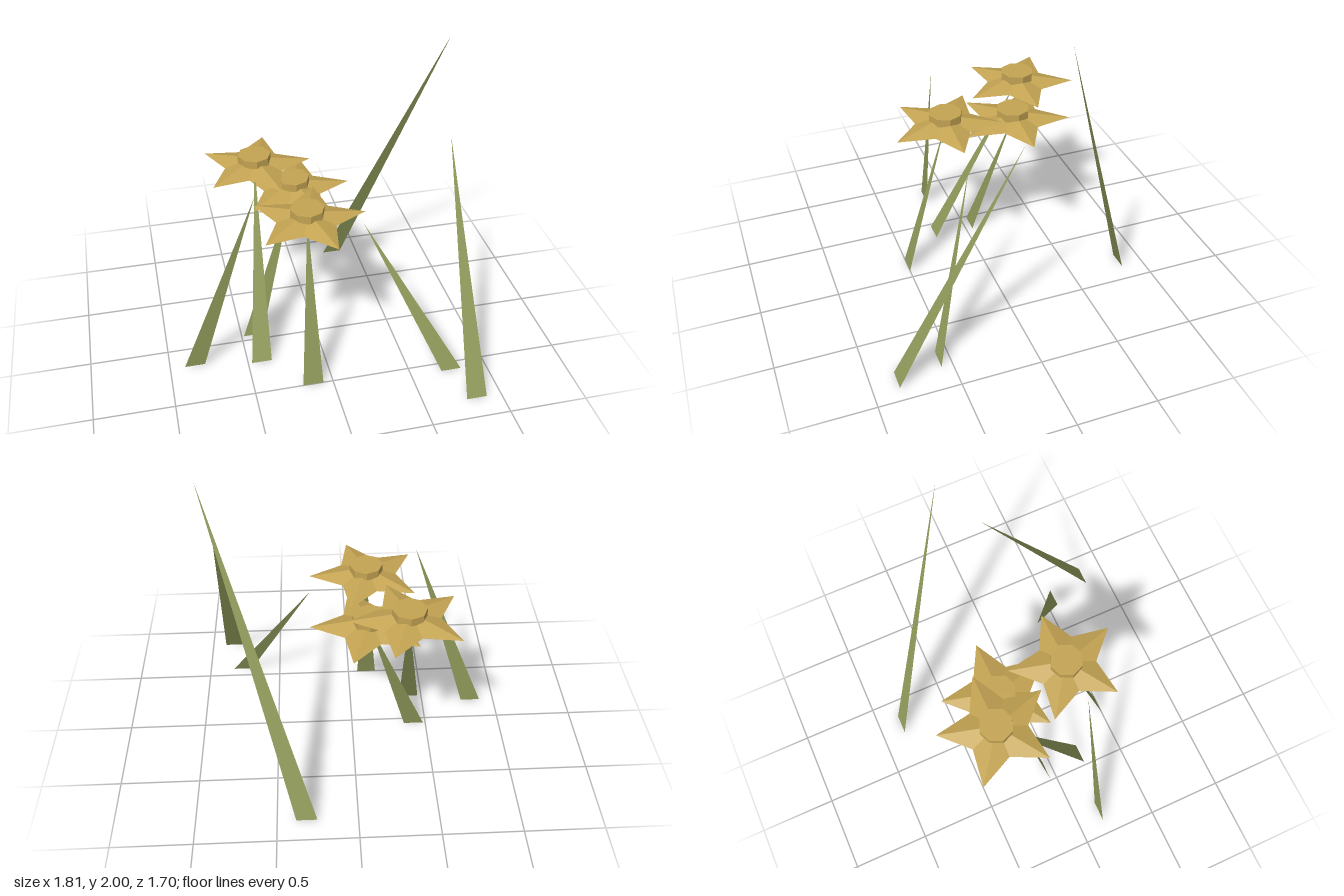
import * as THREE from 'three';

// Thin triangular blade: base edge along x, pointed tip
function makeBlade(name, material, baseX, baseZ, tip) {
  const w = 0.065;
  const geo = new THREE.BufferGeometry();
  geo.setAttribute('position', new THREE.Float32BufferAttribute(
    [baseX - w, 0, baseZ, baseX + w, 0, baseZ, ...tip], 3));
  geo.computeVertexNormals();
  const mesh = new THREE.Mesh(geo, material);
  mesh.name = name;
  return mesh;
}

// Five-pointed faceted star, ridged above and below
function starGeometry(outer, inner, half) {
  const pos = [];
  const rim = (i) => {
    const r = i % 2 ? inner : outer;
    const a = (i * Math.PI) / 5;
    return [r * Math.cos(a), 0, r * Math.sin(a)];
  };
  for (let i = 0; i < 10; i++) {
    const p = rim(i), q = rim(i + 1);
    pos.push(0, half, 0, ...q, ...p);
    pos.push(0, -half, 0, ...p, ...q);
  }
  const geo = new THREE.BufferGeometry();
  geo.setAttribute('position', new THREE.Float32BufferAttribute(pos, 3));
  geo.computeVertexNormals();
  return geo;
}

export function createModel() {
  const group = new THREE.Group();
  group.name = 'flowerPatch';
  const green = new THREE.MeshStandardMaterial({ color: 0x8f9a5a });
  green.name = 'grassGreen';
  green.flatShading = true;
  green.side = THREE.DoubleSide;
  const gold = new THREE.MeshStandardMaterial({ color: 0xc4a453 });
  gold.name = 'petalGold';
  gold.flatShading = true;

  const petals = starGeometry(0.36, 0.188, 0.057);
  const hub = new THREE.CylinderGeometry(0.105, 0.105, 0.132, 8);
  hub.rotateY(Math.PI / 2);
  hub.translate(0, 0.014, 0);

  // Flowers: centre, then stem base x and z
  const flowers = [
    [[-0.32, 1.15, -0.345], -0.41, 0.225],
    [[-0.095, 1.02, -0.23], -0.42, -0.045],
    [[-0.1, 1.075, 0.215], -0.128, 0.5],
  ];
  for (const [centre, baseX, baseZ] of flowers) {
    const flower = new THREE.Group();
    flower.name = 'flower';
    flower.position.set(...centre);
    const star = new THREE.Mesh(petals, gold);
    star.name = 'petals';
    const core = new THREE.Mesh(hub, gold);
    core.name = 'flowerHub';
    flower.add(star, core);
    group.add(flower, makeBlade('stem', green, baseX, baseZ, centre));
  }

  // Loose grass blades: base x, base z, tip
  const blades = [
    [0.318, -0.85, [0.865, 2.0, -0.16]],
    [0.84, 0.845, [0.827, 1.44, 0.07]],
    [0.768, 0.57, [0.262, 0.965, 0.19]],
    [-0.84, 0.165, [-0.41, 1.27, 0.205]],
  ];
  for (const [x, z, tip] of blades) group.add(makeBlade('grassBlade', green, x, z, tip));

  return group;
}
